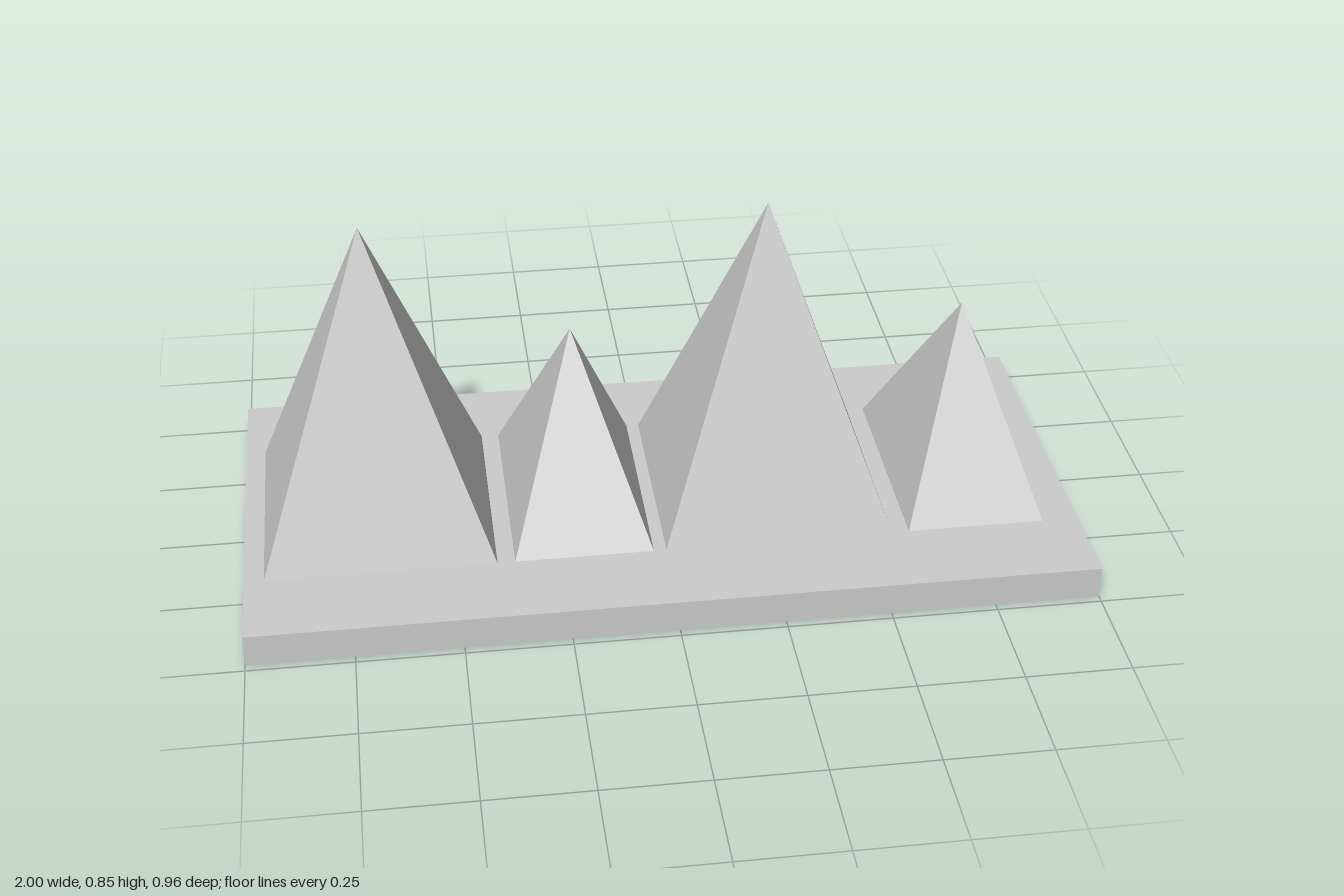
import * as THREE from 'three';

const material = new THREE.MeshStandardMaterial({ color: 0xcccccc, flatShading: true });
const BASE_HEIGHT = 0.08;

// Four-sided pyramid standing on the base slab
function makePyramid(name, x, width, depth, apexY) {
  const height = apexY - BASE_HEIGHT;
  const geometry = new THREE.ConeGeometry(Math.SQRT1_2, height, 4, 1, false, Math.PI / 4);
  geometry.scale(width, 1, depth);
  const mesh = new THREE.Mesh(geometry, material);
  mesh.name = name;
  mesh.position.set(x, BASE_HEIGHT + height / 2, 0);
  return mesh;
}

export function createModel() {
  const model = new THREE.Group();
  model.name = 'pyramidRow';

  // Base slab
  const base = new THREE.Mesh(new THREE.BoxGeometry(2, BASE_HEIGHT, 0.96), material);
  base.name = 'base';
  base.position.y = BASE_HEIGHT / 2;
  model.add(base);

  // Alternating tall and short pyramids
  [-0.68, 0.268].forEach((x, i) => {
    model.add(makePyramid(`tallPyramid${i + 1}`, x, 0.546, 0.546, 0.85));
    model.add(makePyramid(`shortPyramid${i + 1}`, x + 0.48, 0.33, 0.546, 0.546));
  });

  return model;
}
